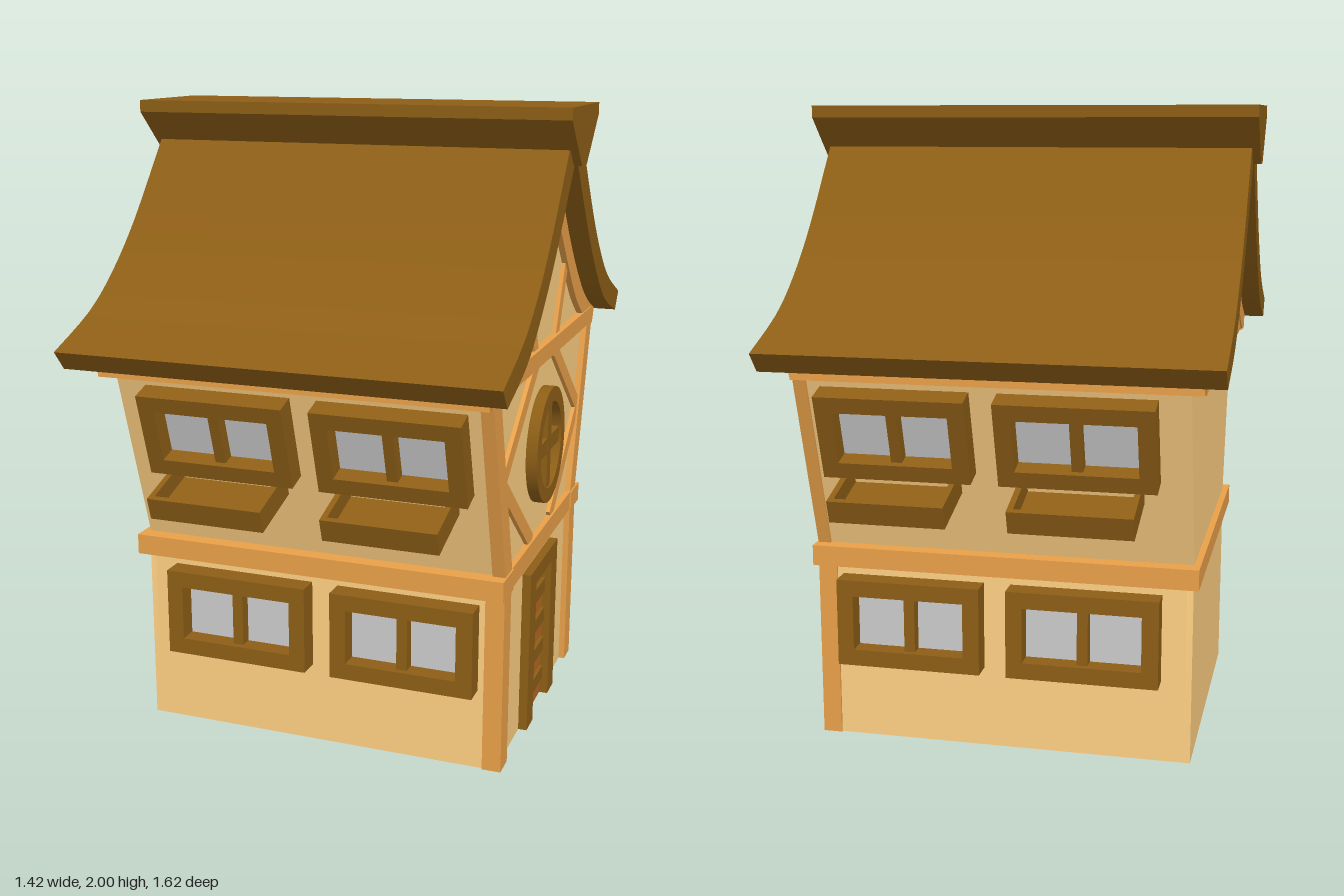
import * as THREE from 'three';
import { toCreasedNormals } from 'three/addons/utils/BufferGeometryUtils.js';

const mat = (color) => new THREE.MeshStandardMaterial({ color, side: THREE.DoubleSide });
const plaster = mat(0xffd083), timber = mat(0xe9a049), darkWood = mat(0x8d5e16);
const doorWood = mat(0xb46824), glass = mat(0xcccccc);
const TILT = Math.atan(0.31); // outward lean of the upper storey

export function createModel() {
  const house = new THREE.Group();
  house.name = 'house';

  const add = (parent, name, geo, material) => {
    const mesh = new THREE.Mesh(geo, material);
    mesh.name = name;
    parent.add(mesh);
    return mesh;
  };
  // box given by its min and max on each axis
  const box = (parent, name, material, [x0, x1], [y0, y1], [z0, z1]) => {
    const mesh = add(parent, name, new THREE.BoxGeometry(x1 - x0, y1 - y0, z1 - z0), material);
    mesh.position.set((x0 + x1) / 2, (y0 + y1) / 2, (z0 + z1) / 2);
    return mesh;
  };
  const vec = ([a, b]) => new THREE.Vector2(a, b);
  const rect = (x0, x1, y0, y1) => [[x0, y0], [x1, y0], [x1, y1], [x0, y1]].map(vec);
  const shapeOf = (points, holes = []) => {
    const s = new THREE.Shape(points);
    s.holes = holes;
    return s;
  };
  // profile in (z, y) extruded along x
  const alongX = (name, shape, material, x0, x1) => {
    const geo = new THREE.ExtrudeGeometry(shape, { depth: x1 - x0, bevelEnabled: false, curveSegments: 20 });
    geo.rotateY(Math.PI / 2).translate(x0, 0, 0);
    return add(house, name, toCreasedNormals(geo, 0.5), material);
  };
  const mirrored = (half) => [...half, ...half.map((p) => new THREE.Vector2(-p.x, p.y)).reverse()];
  const curve = (pts) => new THREE.SplineCurve(pts.map(vec)).getPoints(16);
  const circle = (r) => new THREE.Path().absarc(0, 0.925, r, 0, Math.PI * 2, true);

  // ---- Roof: curved slab, ridge cap, gable rafters
  const outer = curve([[0.81, 1.296], [0.605, 1.38], [0.457, 1.48], [0.3, 1.63], [0.1, 1.87]]);
  const under = [[0.76, 1.235], [0.56, 1.307], [0.405, 1.414], [0.237, 1.573], [0.02, 1.825]];
  const underCurve = curve(under);
  alongX('roof', shapeOf([...mirrored(outer), ...mirrored(underCurve).reverse()]), darkWood, -0.685, 0.685);
  alongX('ridgeCap', shapeOf(mirrored([[0.035, 1.82], [0.09, 1.87], [0.19, 1.963], [0.19, 2]].map(vec))),
    darkWood, -0.71, 0.71);

  const rafterTop = curve([[0.695, 1.25], ...under.slice(1)]);
  const rafterLow = [[0.67, 1.2], [0.6, 1.21], ...curve([[0.52, 1.25], [0.365, 1.35], [0.185, 1.526], [0, 1.72]])
    .map((p) => [p.x, p.y])].map(vec);
  const rafterShape = shapeOf([...mirrored(rafterTop), ...mirrored(rafterLow).reverse()
    .filter((p, i, a) => !i || p.distanceTo(a[i - 1]) > 1e-4)]);
  alongX('rightRafters', rafterShape, timber, -0.62, -0.56);
  alongX('leftRafters', rafterShape, timber, 0.58, 0.62);

  // ---- Gable walls
  const gable = mirrored([[0.475, 0], [0.475, 0.61], [0.47, 0.64], [0.645, 1.22],
    [0.56, 1.31], [0.405, 1.415], [0.237, 1.575], [0.02, 1.825]].map(vec));
  const doorHole = new THREE.Path(rect(-0.15, 0.15, 0.002, 0.51));
  alongX('leftGableWall', shapeOf(gable, [circle(0.165), doorHole]), plaster, 0.58, 0.6);
  alongX('rightGableWall', shapeOf(gable), plaster, -0.575, -0.555);

  // ---- Horizontal timbers
  box(house, 'floorBand', timber, [-0.595, 0.625], [0.575, 0.64], [0.4, 0.52]);
  box(house, 'floorBand', timber, [-0.595, 0.625], [0.575, 0.64], [-0.52, -0.4]);
  box(house, 'floorBandLeft', timber, [0.57, 0.62], [0.575, 0.64], [-0.4, 0.4]);
  box(house, 'floorBandRight', timber, [-0.595, -0.55], [0.575, 0.64], [-0.4, 0.4]);
  box(house, 'tieBeamLeft', timber, [0.58, 0.624], [1.21, 1.265], [-0.63, 0.63]);
  box(house, 'tieBeamRight', timber, [-0.615, -0.56], [1.21, 1.265], [-0.63, 0.63]);

  // ---- Half timbering on the door gable, mirrored front to back
  const brace = (name, z0, y0, z1, y1, w, x1) => {
    const geo = new THREE.BoxGeometry(x1 - 0.58, w, Math.hypot(z1 - z0, y1 - y0));
    const mesh = add(house, name, geo, timber);
    mesh.position.set((x1 + 0.58) / 2, (y0 + y1) / 2, (z0 + z1) / 2);
    mesh.rotation.x = -Math.atan2(y1 - y0, z1 - z0);
  };
  for (const s of [1, -1]) {
    box(house, 'cornerPost', timber, [0.56, 0.62], [0, 0.58], s > 0 ? [0.405, 0.482] : [-0.482, -0.405]);
    box(house, 'eaveBeam', timber, [-0.615, 0.615], [1.2, 1.245], s > 0 ? [0.62, 0.685] : [-0.685, -0.62]);
    brace('leaningPost', s * 0.438, 0.63, s * 0.62, 1.22, 0.075, 0.62);
    brace('upperBrace', s * 0.51, 0.93, s * 0.12, 1.215, 0.05, 0.613);
    brace('lowerBrace', s * 0.5, 0.93, s * 0.13, 0.635, 0.05, 0.613);
    brace('gableBrace', s * 0.135, 1.25, s * 0.245, 1.47, 0.045, 0.613);
  }

  // ---- Round window
  const ring = new THREE.Shape().absarc(0, 0.925, 0.19, 0, Math.PI * 2, false);
  ring.holes = [circle(0.142)];
  alongX('roundWindowFrame', ring, darkWood, 0.56, 0.637);
  alongX('roundWindowGlass', new THREE.Shape().absarc(0, 0.925, 0.15, 0, Math.PI * 2, false), glass, 0.59, 0.6);
  box(house, 'roundWindowBar', darkWood, [0.58, 0.63], [0.78, 1.07], [-0.025, 0.025]);
  box(house, 'roundWindowBar', darkWood, [0.58, 0.629], [0.9, 0.95], [-0.145, 0.145]);

  // ---- Door with alternating slats
  for (const z of [[-0.185, -0.105], [0.105, 0.185]]) box(house, 'doorJamb', darkWood, [0.56, 0.628], [0, 0.54], z);
  box(house, 'doorLintel', darkWood, [0.56, 0.628], [0.485, 0.54], [-0.105, 0.105]);
  for (let i = 0; i < 9; i++) {
    const y = i * 0.054, dark = i % 2;
    box(house, 'doorSlat', dark ? darkWood : doorWood, [0.58, dark ? 0.608 : 0.6], [y, y + 0.047], [-0.106, 0.106]);
  }

  // ---- Long walls: windows sit in the wall plane, z outwards
  const panel = (parent, name, shape, material, z0, z1) => {
    const geo = new THREE.ExtrudeGeometry(shape, { depth: z1 - z0, bevelEnabled: false });
    return add(parent, name, geo.translate(0, 0, z0), material);
  };
  const addWindow = (parent, x0, x1, y0, y1) => {
    const b = 0.052, c = (x0 + x1) / 2;
    const hole = new THREE.Path(rect(x0 + b, x1 - b, y0 + b, y1 - b));
    panel(parent, 'windowFrame', shapeOf(rect(x0, x1, y0, y1), [hole]), darkWood, -0.03, 0.07);
    box(parent, 'windowMullion', darkWood, [c - 0.017, c + 0.017], [y0 + b, y1 - b], [-0.01, 0.05]);
    box(parent, 'windowGlass', glass, [x0 + b, x1 - b], [y0 + b, y1 - b], [0, 0.01]);
  };
  const addPlanter = (parent, x0, x1, y0, y1) => {
    const t = 0.018, d = 0.205;
    box(parent, 'planterFloor', darkWood, [x0, x1], [y0, y0 + t], [0, d]);
    box(parent, 'planterFront', darkWood, [x0, x1], [y0, y1], [d - t, d]);
    box(parent, 'planterSide', darkWood, [x0, x0 + t], [y0, y1], [0, d]);
    box(parent, 'planterSide', darkWood, [x1 - t, x1], [y0, y1], [0, d]);
  };
  for (const side of [1, -1]) {
    const longSide = new THREE.Group();
    longSide.name = side > 0 ? 'frontSide' : 'backSide';
    if (side < 0) longSide.rotation.y = Math.PI;
    house.add(longSide);
    const span = (a, b) => (side > 0 ? [a, b] : [-b, -a]);
    const windows = [span(-0.48, -0.005), span(0.08, 0.54)];
    const wall = span(-0.575, 0.6);

    const storey = (name, y, z, lean, bottom, top, sill, head) => {
      const g = new THREE.Group();
      g.name = name;
      g.position.set(0, y, z);
      g.rotation.x = lean;
      longSide.add(g);
      const holes = windows.map(([a, b]) => new THREE.Path(rect(a + 0.03, b - 0.03, sill + 0.03, head - 0.03)));
      panel(g, name + 'Wall', shapeOf(rect(...wall, bottom, top), holes), plaster, -0.02, 0);
      for (const [a, b] of windows) addWindow(g, a, b, sill, head);
      return g;
    };
    storey('lowerStorey', 0, 0.475, 0, 0, 0.6, 0.26, 0.54);
    const upper = storey('upperStorey', 0.64, 0.47, TILT, -0.03, 0.61, 0.285, 0.56);
    for (const [a, b] of windows) addPlanter(upper, a + 0.053, b - 0.05, 0.212, 0.285);
  }
  return house;
}
